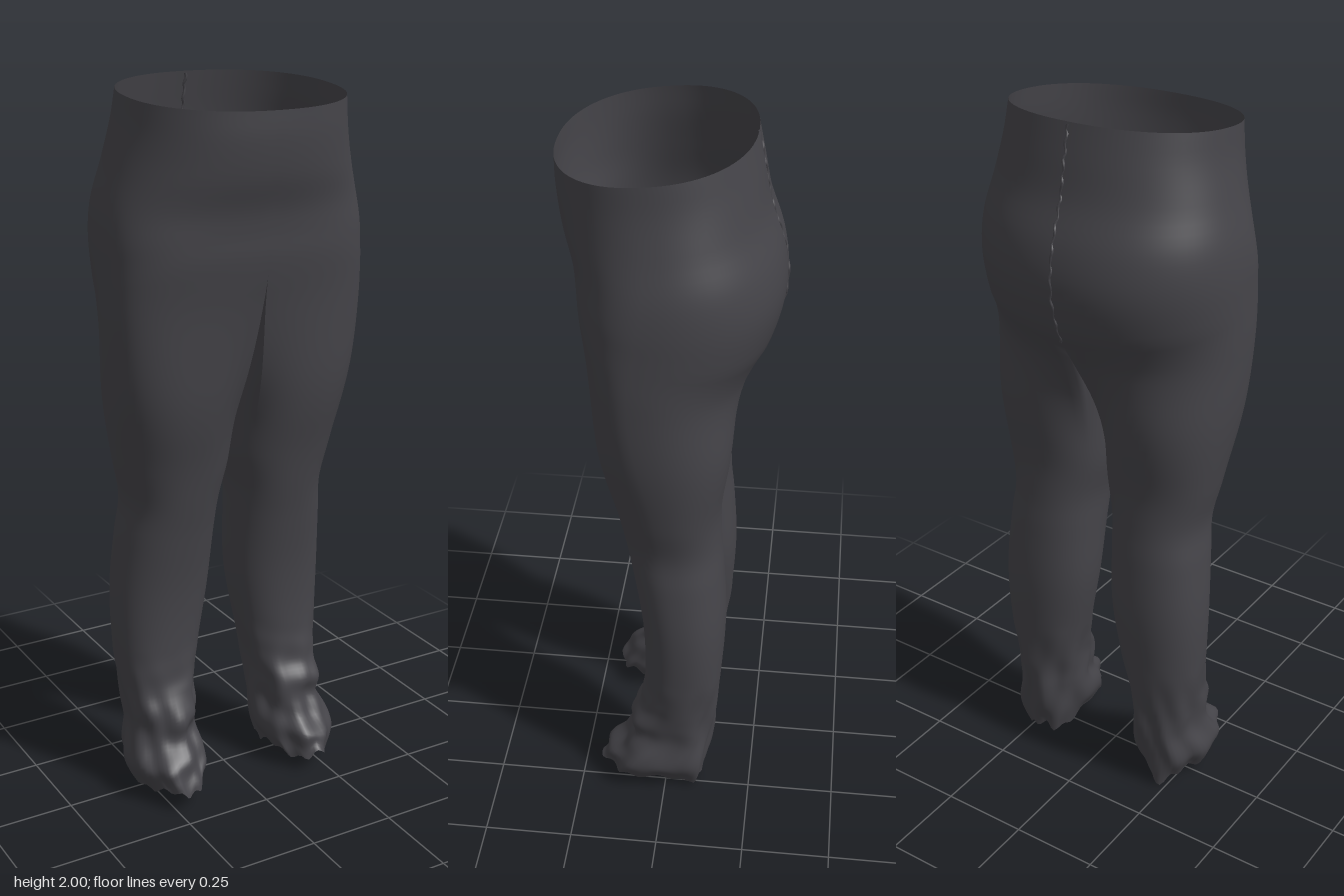
import * as THREE from 'three';
import { mergeVertices } from 'three/addons/utils/BufferGeometryUtils.js';

// Half cross-sections, top to bottom: height, inner x, outer x, front z, back z
const SECTIONS = [
  [1.98, 0, 0.302, 0.29, -0.205],
  [1.90, 0, 0.312, 0.288, -0.222],
  [1.80, 0, 0.335, 0.275, -0.243],
  [1.70, 0, 0.36, 0.25, -0.28],
  [1.62, 0, 0.369, 0.242, -0.29],
  [1.53, 0, 0.37, 0.238, -0.262],
  [1.48, 0, 0.37, 0.232, -0.235],
  [1.40, 0.001, 0.369, 0.218, -0.206],
  [1.20, 0.001, 0.356, 0.19, -0.178],
  [1.00, 0.006, 0.325, 0.14, -0.147],
  [0.88, 0.03, 0.302, 0.115, -0.148],
  [0.78, 0.036, 0.312, 0.095, -0.157],
  [0.60, 0.046, 0.325, 0.068, -0.166],
  [0.42, 0.078, 0.32, 0.062, -0.157],
  [0.31, 0.1, 0.308, 0.078, -0.145],
  [0.25, 0.108, 0.303, 0.108, -0.14],
  [0.19, 0.112, 0.3, 0.105, -0.135],
  [0.10, 0.112, 0.32, 0.165, -0.122],
  [0.03, 0.138, 0.288, 0.19, -0.108],
];
// Tilt of each cross-section (rise per unit of z): height, slope
const TILT = [[1.98, -0.1], [1.7, 0], [1.48, 0.25], [1.2, 0.04], [0.9, 0], [0.2, 0], [0.03, 0.12]];
const CROTCH = 1.48;
const OUTER = 44, INNER = 16; // steps round the outside and the inside of a leg

const { smoothstep, lerp } = THREE.MathUtils;
const soft = (v, e = 0.9) => Math.sign(v) * Math.abs(v) ** e;

// Smooth interpolation of a table by its first column (descending)
function sample(table, y) {
  let i = 0;
  while (i < table.length - 2 && y < table[i + 1][0]) i++;
  const a = table[i], b = table[i + 1];
  const t = (a[0] - y) / (a[0] - b[0]);
  const p = table[i - 1] ?? a, n = table[i + 2] ?? b;
  return a.map((v, k) => {
    const h = a[0] - b[0];
    const m0 = p === a ? b[k] - v : ((b[k] - p[k]) / (p[0] - b[0])) * h;
    const m1 = n === b ? b[k] - v : ((n[k] - v) / (a[0] - n[0])) * h;
    const t2 = t * t, t3 = t2 * t;
    return (2 * t3 - 3 * t2 + 1) * v + (t3 - 2 * t2 + t) * m0 + (3 * t2 - 2 * t3) * b[k] + (t3 - t2) * m1;
  });
}

// Point on the cloth: height, step round the section, side (+1 left, -1 right)
function clothPoint(y, j, side) {
  const [, xin, xout, zf, zb] = sample(SECTIONS, y);
  const slope = sample(TILT, y)[1];
  const cx = (xin + xout) / 2, rx = (xout - xin) / 2;
  const out = j <= OUTER;
  const t = out ? j / OUTER : (j - OUTER) / INNER;

  // Hips and thighs are fuller at the front
  const full = smoothstep(y, 1.0, 1.4) * (1 - smoothstep(y, 1.58, 1.85));
  const cz = (zf + zb) / 2 + 0.045 * full;
  const depth = (c) => (c > 0 ? cz + (zf - cz) * soft(c, 0.9 - 0.22 * full) : cz + (cz - zb) * soft(c));

  // Half of the pelvis: an outer arc closed by a flat wall at the centre
  const pa = t * Math.PI;
  const px = out ? xout * soft(Math.max(0, Math.sin(pa))) : xin;
  const pz = out ? depth(Math.cos(pa)) : lerp(zb, zf, t);

  // Leg: a rounded closed loop, gathered into folds at the ankle
  const la = out ? lerp(-0.9, Math.PI + 0.9, t) : lerp(Math.PI + 0.9, Math.PI * 2 - 0.9, t);
  const gather = smoothstep(0.48 - y, 0, 0.3);
  const fold = 1 + gather * (0.05 * Math.sin(5 * la + 14 * y + side) + 0.035 * Math.sin(9 * la - 20 * y)
    + 0.03 * Math.sin(70 * y + 2 * la + side) * Math.max(0, Math.cos(la)));
  const lx = cx + rx * soft(Math.sin(la)) * fold;
  const lz = cz + (depth(Math.cos(la)) - cz) * fold;

  const w = smoothstep(CROTCH - y, 0, 0.42);
  const z = lerp(pz, lz, w);
  // Ragged hem
  const hem = 1 - smoothstep(y, 0.03, 0.12);
  const rag = hem * (0.01 * Math.sin(4 * la + side) + 0.008 * Math.sin(11 * la + 2 * side));
  return new THREE.Vector3(side * lerp(px, lx, w), y + slope * z + rag, z);
}

// Evenly spaced heights
function heights(from, to, n) {
  return Array.from({ length: n + 1 }, (_, i) => lerp(from, to, i / n));
}

function clothGeometry() {
  const pos = [], idx = [];
  const addSheet = (ys, last, side) => {
    const base = pos.length / 3, cols = last + 1;
    for (const y of ys) for (let j = 0; j <= last; j++) pos.push(...clothPoint(y, j, side).toArray());
    for (let r = 0; r < ys.length - 1; r++) {
      for (let j = 0; j < last; j++) {
        const a = base + r * cols + j, b = a + 1, c = a + cols, d = c + 1;
        if (side > 0) idx.push(a, c, d, a, d, b);
        else idx.push(a, d, c, a, b, d);
      }
    }
  };
  const pelvis = heights(1.98, CROTCH, 24);
  const leg = [...heights(CROTCH, 0.45, 40), ...heights(0.45, 0.03, 42).slice(1)];
  for (const side of [1, -1]) {
    addSheet(pelvis, OUTER, side);
    addSheet(leg, OUTER + INNER, side);
  }
  const geo = new THREE.BufferGeometry();
  geo.setAttribute('position', new THREE.Float32BufferAttribute(pos, 3));
  geo.setIndex(idx);
  const welded = mergeVertices(geo, 1e-4);
  welded.computeVertexNormals();
  return welded;
}

export function createModel() {
  const cloth = new THREE.MeshStandardMaterial({ color: 0x454449, side: THREE.DoubleSide });
  cloth.name = 'charcoal cloth';

  const model = new THREE.Group();
  model.name = 'trousers';

  // Seat, hips and both legs in one continuous cloth
  const body = new THREE.Mesh(clothGeometry(), cloth);
  body.name = 'trouserCloth';
  model.add(body);

  // Slightly puckered seam down the back
  const path = heights(1.975, 1.5, 36).map((y, i) => {
    const p = clothPoint(y, OUTER, 1);
    p.x = 0.003 * Math.sin(i * 2.3);
    p.z += 0.001 + 0.002 * Math.sin(i * 1.7);
    return p;
  });
  const seam = new THREE.Mesh(
    new THREE.TubeGeometry(new THREE.CatmullRomCurve3(path), 72, 0.004, 6), cloth);
  seam.name = 'backSeam';
  model.add(seam);

  return model;
}
